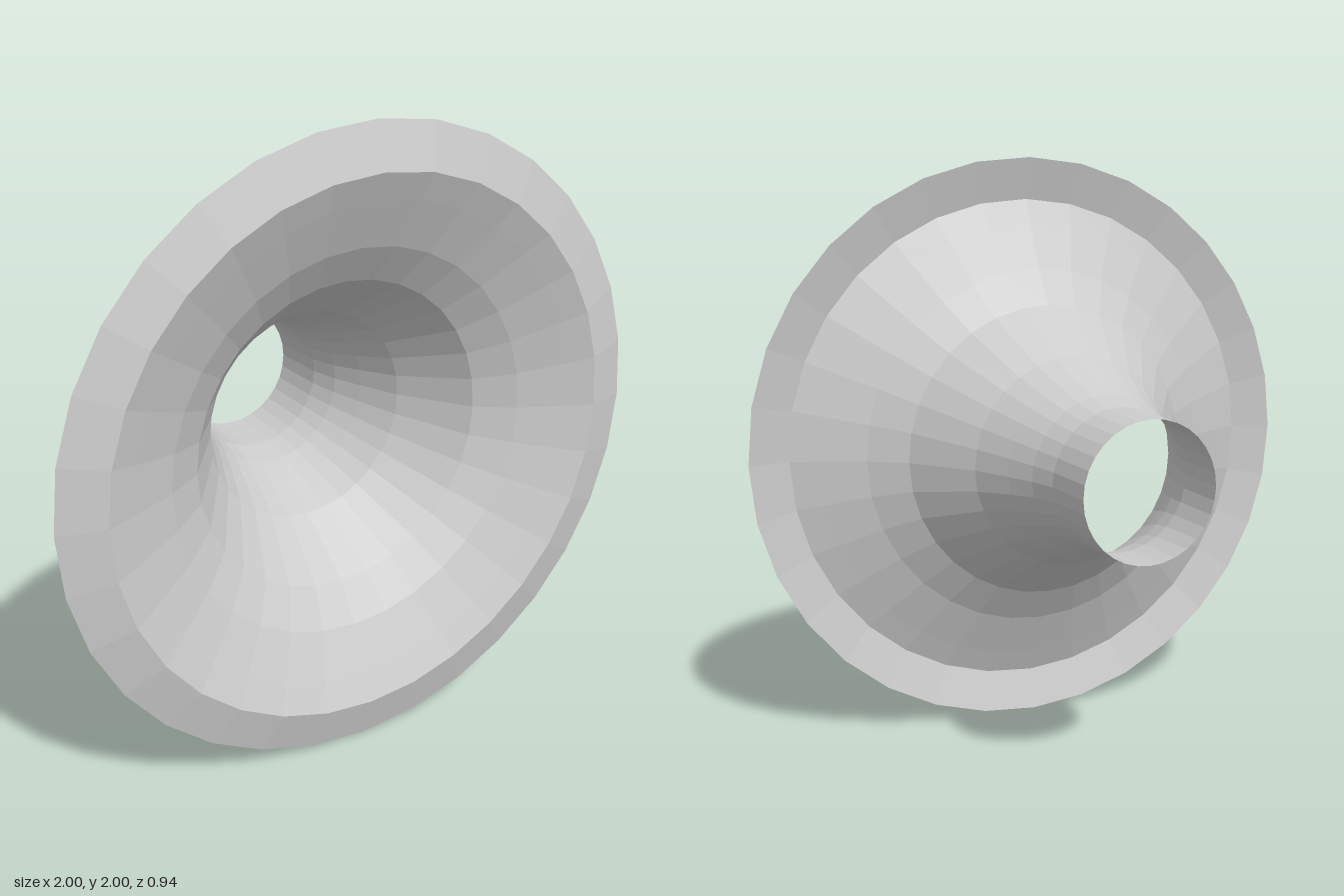
import * as THREE from 'three';

const SIDES = 32;

// Revolve [radius, z] points around the z axis as a thin faceted sheet
function revolve(name, profile, material) {
  const points = profile.map(([r, z]) => new THREE.Vector2(r, z));
  const geometry = new THREE.LatheGeometry(points, SIDES);
  geometry.rotateX(Math.PI / 2);
  const mesh = new THREE.Mesh(geometry, material);
  mesh.name = name;
  return mesh;
}

export function createModel() {
  const group = new THREE.Group();
  group.name = 'flaredHorn';
  const material = new THREE.MeshStandardMaterial({
    color: 0xcccccc, flatShading: true, side: THREE.DoubleSide,
  });

  // Straight open tube at the back
  const neck = revolve('neck', [[0.221, -0.47], [0.23, -0.27]], material);

  // Curved flare widening towards the front
  const bell = revolve('bell', [
    [0.23, -0.27], [0.254, -0.17], [0.293, -0.07], [0.353, 0.065],
    [0.505, 0.28], [0.625, 0.362], [0.775, 0.432], [0.86, 0.47],
  ], material);

  // Lip folded back around the mouth
  const rim = revolve('rim', [[0.86, 0.47], [1, 0.432]], material);

  group.add(neck, bell, rim);
  group.children.forEach((part) => { part.position.y = 1; });
  return group;
}
